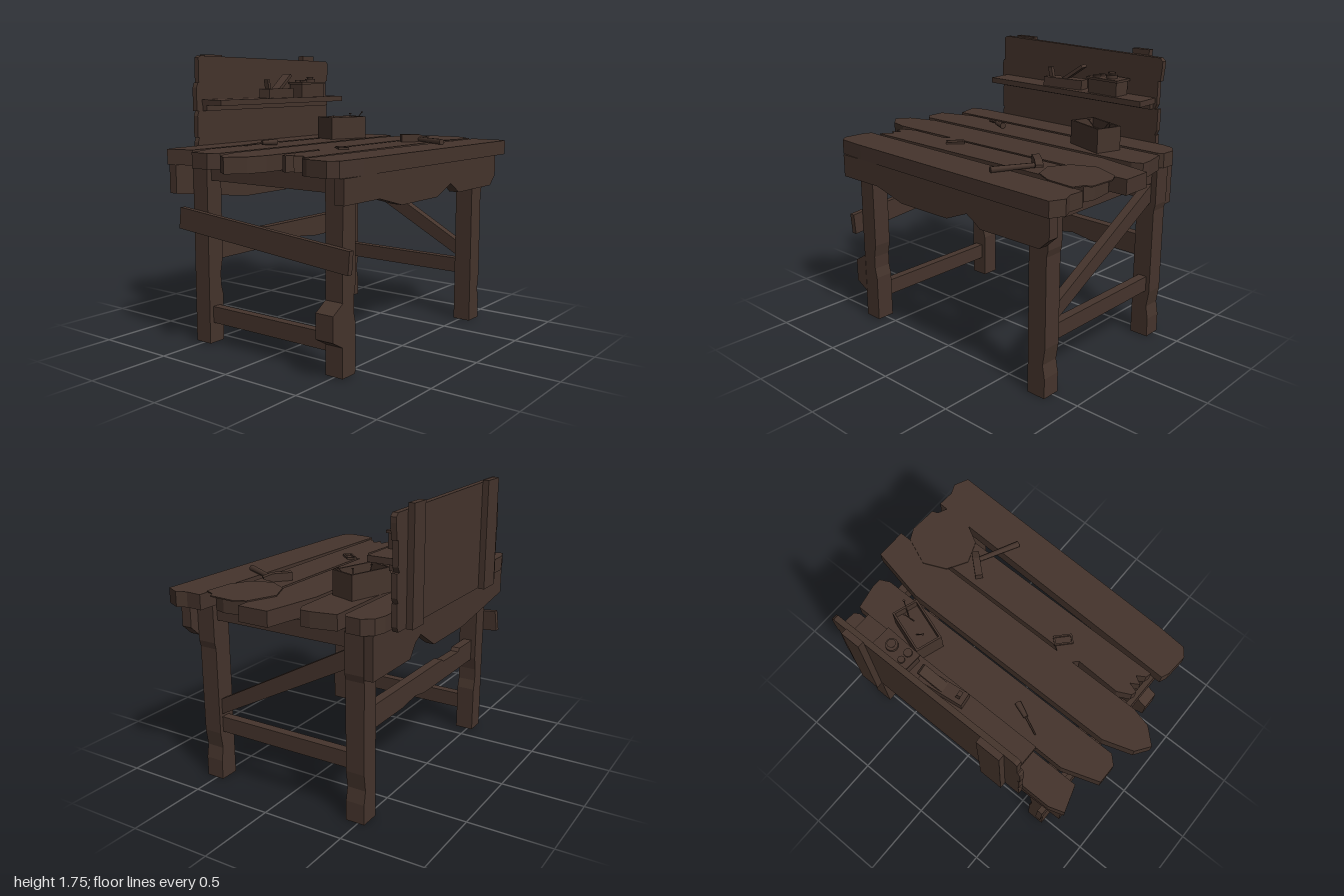
import * as THREE from 'three';

const wood = new THREE.MeshStandardMaterial({ color: 0x45342c });
wood.name = 'dark wood';

export function createModel() {
  const root = new THREE.Group();
  root.name = 'workbench';

  const add = (name, geo, parent = root) => {
    const m = new THREE.Mesh(geo, wood);
    m.name = name;
    parent.add(m);
    return m;
  };
  const box = (name, x0, x1, y0, y1, z0, z1, parent) =>
    add(name, new THREE.BoxGeometry(x1 - x0, y1 - y0, z1 - z0)
      .translate((x0 + x1) / 2, (y0 + y1) / 2, (z0 + z1) / 2), parent);
  const extrude = (pts, depth) => new THREE.ExtrudeGeometry(
    new THREE.Shape(pts.map(p => new THREE.Vector2(...p))), { depth, bevelEnabled: false });
  // outline in (x, z), thickness along y
  const flat = (name, pts, y0, y1, parent) => add(name,
    extrude(pts.map(([x, z]) => [x, -z]), y1 - y0).rotateX(-Math.PI / 2).translate(0, y0, 0), parent);
  // outline in (z, y), thickness along x
  const side = (name, pts, x0, x1, parent) => add(name,
    extrude(pts.map(([z, y]) => [-z, y]), x1 - x0).rotateY(Math.PI / 2).translate(x0, 0, 0), parent);
  // outline in (x, y), thickness along z
  const front = (name, pts, z0, z1, parent) => add(name, extrude(pts, z1 - z0).translate(0, 0, z0), parent);
  const rod = (name, a, b, r0, r1, sides, parent) => {
    const A = new THREE.Vector3(...a), d = new THREE.Vector3(...b).sub(A);
    const m = add(name, new THREE.CylinderGeometry(r1, r0, d.length(), sides), parent);
    m.position.copy(A).addScaledVector(d, 0.5);
    m.quaternion.setFromUnitVectors(new THREE.Vector3(0, 1, 0), d.normalize());
    return m;
  };
  const group = (name, x, y, z, turn) => {
    const g = new THREE.Group();
    g.name = name;
    g.position.set(x, y, z);
    g.rotation.y = turn;
    root.add(g);
    return g;
  };

  // Worn table planks
  [
    [[-0.62, 0.76], [-0.59, 0.85], [-0.43, 0.8], [-0.43, -0.83], [-0.45, -0.86], [-0.54, -0.865], [-0.6, -0.82], [-0.62, -0.75]],
    [[-0.405, 0.68], [-0.33, 0.9], [-0.21, 0.9], [-0.16, 0.85], [-0.16, -0.83], [-0.19, -0.89], [-0.25, -0.89], [-0.4, -0.86]],
    [[-0.13, 0.76], [-0.07, 0.94], [0.015, 1], [0.1, 0.91], [0.13, 0.79], [0.13, -1], [-0.06, -1], [-0.1, -0.8], [-0.13, -0.65]],
    [[0.15, 0.65], [0.19, 0.73], [0.22, 0.74], [0.24, 0.68], [0.27, 0.73], [0.3, 0.68], [0.33, 0.73], [0.365, 0.74],
      [0.37, -0.9], [0.3, -0.92], [0.15, -0.9], [0.15, 0.2], [0.13, 0.23], [0.13, 0.34], [0.16, 0.37]],
    [[0.385, 0.8], [0.43, 0.82], [0.57, 0.83], [0.62, 0.79], [0.635, 0.6], [0.685, -0.93], [0.6, -0.97], [0.54, -0.945], [0.44, -0.95], [0.43, -0.7]],
  ].forEach((pts, i) => flat('tablePlank' + (i + 1), pts, 1.1, 1.19));

  // Legs with small chips
  for (const [x0, x1] of [[-0.54, -0.425], [0.455, 0.57]]) {
    side('frontLeg', [[0.58, 0.01], [0.695, 0.01], [0.695, 1.1], [0.58, 1.1], [0.58, 0.52], [0.595, 0.44], [0.595, 0.36], [0.58, 0.3]], x0, x1);
    side('backLeg', [[-0.705, 0], [-0.825, 0], [-0.825, 0.12], [-0.81, 0.2], [-0.825, 0.3], [-0.825, 0.83], [-0.835, 0.87],
      [-0.835, 1.1], [-0.705, 1.1]], x0, x1);
  }
  side('legBlock', [[0.69, 0.43], [0.78, 0.375], [0.78, 0.23], [0.69, 0.18]], 0.455, 0.572);

  // Cross rails between the legs
  box('frontTopRail', -0.43, 0.46, 1.0, 1.1, 0.6, 0.66);
  box('backTopRail', -0.43, 0.46, 1.0, 1.1, -0.8, -0.745);
  box('frontLowRail', -0.43, 0.46, 0.135, 0.235, 0.61, 0.665);
  box('backLowRail', -0.43, 0.46, 0.305, 0.4, -0.8, -0.745);
  front('backBrace', [[-0.43, 0.885], [0.46, 0.415], [0.46, 0.51], [-0.43, 0.995]], -0.8, -0.745);
  front('frontBoard', [[-0.635, 0.7], [0.63, 0.59], [0.64, 0.72], [-0.62, 0.83]], 0.695, 0.73);
  side('sideRail', [[0.59, 0.645], [0.4, 0.645], [0.38, 0.625], [0.17, 0.63], [0.15, 0.645], [-0.71, 0.645],
    [-0.71, 0.51], [-0.35, 0.51], [-0.2, 0.53], [-0.08, 0.51], [0.59, 0.51]], -0.51, -0.455);

  // Broken side aprons
  side('leftApron', [[0.77, 1.1], [0.77, 0.96], [0.45, 0.96], [0.23, 0.9], [-0.15, 0.9], [-0.31, 0.965], [-0.37, 0.93],
    [-0.41, 0.9], [-0.83, 0.9], [-0.895, 0.96], [-0.895, 1.1]], 0.57, 0.635);
  side('rightApron', [[0.83, 1.1], [0.83, 0.93], [0.24, 0.85], [-0.14, 0.85], [-0.31, 0.96], [-0.37, 0.93],
    [-0.43, 0.85], [-0.83, 0.85], [-0.83, 1.1]], -0.595, -0.54);

  // Tool wall: stacked boards, battens, shelf
  [[0.575, -0.69, 1.085, 1.24], [0.575, -0.695, 1.24, 1.4], [0.58, -0.685, 1.4, 1.57]].forEach(([a, b, y0, y1]) =>
    side('wallBoard', [[a, y0], [a, y1 - 0.03], [a - 0.012, y1], [b, y1], [b, y0 + 0.03], [b + 0.015, y0]], -0.652, -0.618));
  side('wallTopBoard', [[0.56, 1.57], [0.56, 1.72], [0.54, 1.732], [-0.69, 1.71], [-0.71, 1.69], [-0.71, 1.66], [-0.7, 1.57]], -0.652, -0.618);
  box('wallBatten', -0.69, -0.652, 1.08, 1.74, 0.325, 0.475);
  box('wallBatten', -0.69, -0.652, 1.08, 1.745, -0.59, -0.47);
  box('shelf', -0.62, -0.46, 1.433, 1.468, -0.67, 0.535);
  box('shelfCleat', -0.62, -0.585, 1.4, 1.433, -0.66, 0.53);

  // Open box: four walls and a floor
  const openBox = (g, w, l, h, t) => {
    box('boxFloor', -w / 2, w / 2, 0, t, -l / 2, l / 2, g);
    for (const s of [-1, 1]) {
      const x = s * (w - t) / 2, z = s * (l - t) / 2;
      box('boxSide', x - t / 2, x + t / 2, 0, h, -l / 2, l / 2, g);
      box('boxEnd', -w / 2, w / 2, 0, h, z - t / 2, z + t / 2, g);
    }
  };

  // Nail box on the table
  const nails = group('nailBox', -0.305, 1.19, -0.465, -0.32);
  openBox(nails, 0.165, 0.28, 0.145, 0.012);
  box('nailPile', -0.07, 0.07, 0.01, 0.09, -0.13, 0.13, nails);
  [[-0.01, -0.08, 0.01, -0.16, 0.17], [0.01, -0.05, -0.03, -0.09, 0.16], [-0.03, 0.02, 0, 0.07, 0.15]].forEach(([x, z, x2, z2, y]) => {
    rod('nail', [x, 0.08, z], [x2, y, z2], 0.003, 0.003, 6, nails);
    rod('nailHead', [x2, y, z2], [x2, y + 0.004, z2], 0.008, 0.008, 6, nails);
  });

  // Tray of jars on the shelf
  const tray = group('jarTray', -0.538, 1.468, -0.375, -0.05);
  box('trayBody', -0.055, 0.055, 0, 0.085, -0.11, 0.11, tray);
  box('trayRim', -0.063, 0.063, 0.085, 0.1, -0.12, 0.12, tray);
  rod('jar', [0, 0.09, -0.03], [0, 0.12, -0.03], 0.036, 0.036, 12, tray);
  rod('jarLid', [0, 0.12, -0.03], [0, 0.135, -0.03], 0.02, 0.025, 12, tray);
  for (const [x, r] of [[-0.025, 0.02], [0.027, 0.024]])
    rod('smallJar', [x, 0.09, 0.065], [x, 0.112, 0.065], r, r, 12, tray);

  // Hand plane on the shelf
  const plane = group('handPlane', -0.53, 1.468, -0.05, 0.13);
  box('planeBody', -0.04, 0.04, 0, 0.06, -0.14, 0.14, plane);
  side('planeBlade', [[0.02, 0.055], [-0.02, 0.055], [-0.14, 0.14], [-0.125, 0.155]], -0.03, 0.03, plane);
  side('planeGrip', [[0.11, 0.055], [0.085, 0.055], [0.1, 0.12], [0.125, 0.12]], -0.015, 0.015, plane);

  // Hammer
  rod('hammerHandle', [0.26, 1.207, -0.52], [0.525, 1.207, -0.385], 0.014, 0.018, 8);
  const head = group('hammerHead', 0.255, 1.19, -0.49, -0.73);
  box('headBlock', -0.022, 0.022, 0, 0.048, -0.03, 0.085, head);
  side('headPeen', [[-0.03, 0], [-0.03, 0.048], [-0.085, 0.03], [-0.085, 0.018]], -0.022, 0.022, head);

  // Screwdriver
  rod('screwdriverHandle', [-0.268, 1.209, 0.255], [-0.305, 1.209, 0.345], 0.02, 0.014, 8);
  rod('screwdriverShaft', [-0.305, 1.207, 0.345], [-0.35, 1.197, 0.45], 0.006, 0.005, 6);

  // Small buckle
  const buckle = group('buckle', 0.205, 1.19, 0.215, -0.75);
  for (const s of [-1, 1]) {
    box('buckleSide', -0.055, 0.055, 0, 0.012, s * 0.025 - 0.005, s * 0.025 + 0.005, buckle);
    box('buckleEnd', s * 0.052 - 0.005, s * 0.052 + 0.005, 0, 0.012, -0.025, 0.025, buckle);
  }

  // Paper sheet draped flat on the back of the table
  flat('paperSheet', [[0.06, -0.757], [0.13, -0.925], [0.2, -0.96], [0.365, -0.95], [0.38, -0.915], [0.445, -0.885],
    [0.43, -0.71], [0.37, -0.6], [0.24, -0.55], [0.12, -0.62]], 1.19, 1.197);

  return root;
}
